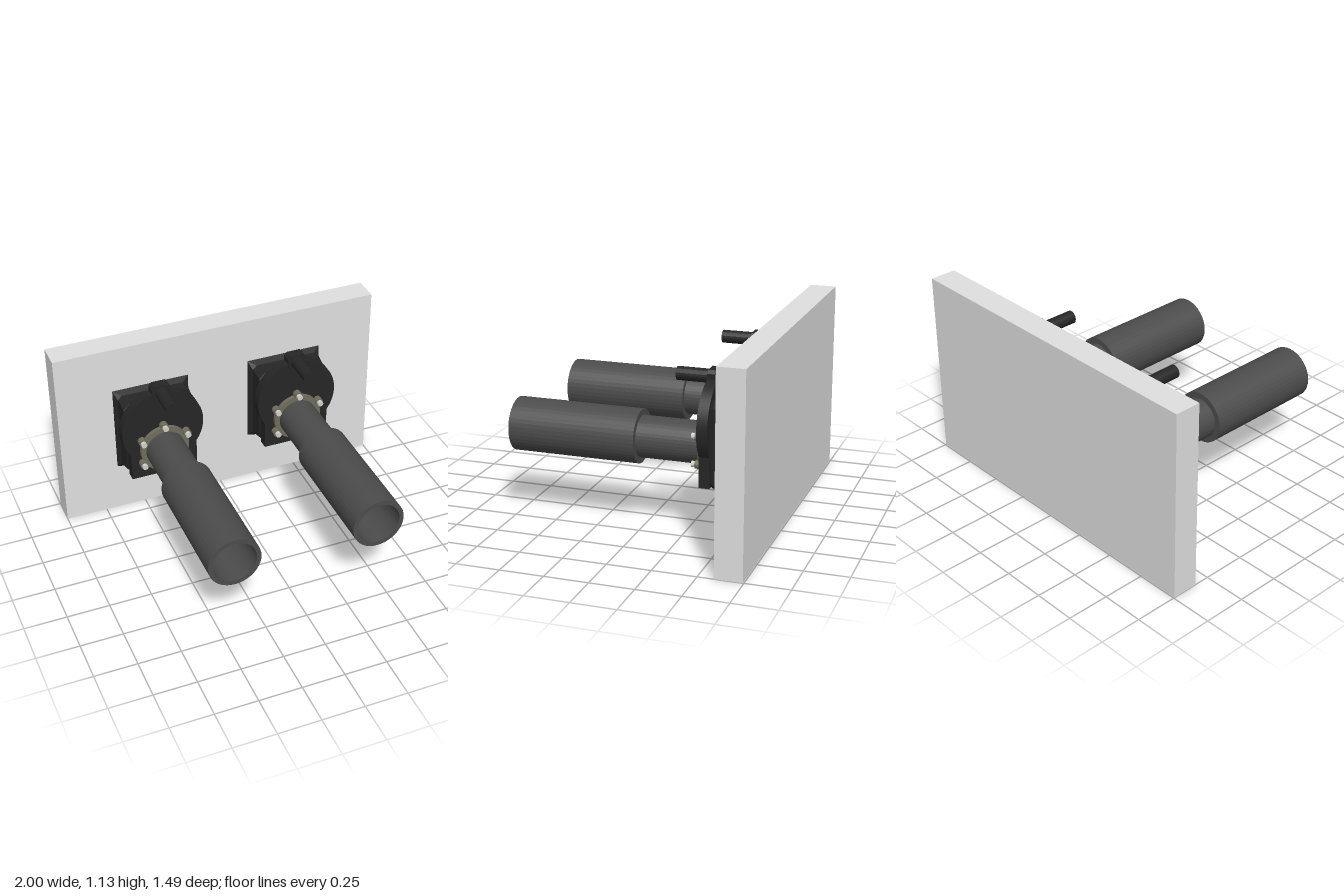
import * as THREE from 'three';

const mat = (name, color, flatShading = false) => {
  const m = new THREE.MeshStandardMaterial({ color, flatShading });
  m.name = name;
  return m;
};

function add(parent, name, geometry, material, x = 0, y = 0, z = 0) {
  const mesh = new THREE.Mesh(geometry, material);
  mesh.name = name;
  mesh.position.set(x, y, z);
  parent.add(mesh);
  return mesh;
}

// cylinder lying along z, from z0 to z1
function rod(radius, z0, z1, sides) {
  const g = new THREE.CylinderGeometry(radius, radius, z1 - z0, sides);
  return g.rotateX(Math.PI / 2).translate(0, 0, (z0 + z1) / 2);
}

// extrude a shape from z0 to z1
function slab(shape, z0, z1) {
  const g = new THREE.ExtrudeGeometry(shape, { depth: z1 - z0, bevelEnabled: false, curveSegments: 48 });
  return g.translate(0, 0, z0);
}

// rectangular cross-sections with cut corners, joined from back to front
function loft(sections) {
  const rings = sections.map(([z, w, y0, y1, c]) => [
    [-w + c, y0, z], [w - c, y0, z], [w, y0 + c, z], [w, y1 - c, z],
    [w - c, y1, z], [-w + c, y1, z], [-w, y1 - c, z], [-w, y0 + c, z],
  ]);
  const p = [];
  for (let s = 0; s < rings.length - 1; s++) {
    for (let i = 0; i < 8; i++) {
      const j = (i + 1) % 8;
      const a = rings[s][i], b = rings[s][j], c = rings[s + 1][j], d = rings[s + 1][i];
      p.push(...a, ...b, ...c, ...a, ...c, ...d);
    }
  }
  const back = rings[0], front = rings[rings.length - 1];
  for (let i = 1; i < 7; i++) {
    p.push(...front[0], ...front[i], ...front[i + 1]);
    p.push(...back[0], ...back[i + 1], ...back[i]);
  }
  const g = new THREE.BufferGeometry();
  g.setAttribute('position', new THREE.Float32BufferAttribute(p, 3));
  g.computeVertexNormals();
  return g;
}

export function createModel() {
  const model = new THREE.Group();
  model.name = 'wallMountedPipes';

  const wallGrey = mat('wallGrey', 0xe0e0e0);
  const pipeGrey = mat('pipeGrey', 0x4c4c4c, true);
  const housingBlack = mat('housingBlack', 0x262626, true);
  const flangeOlive = mat('flangeOlive', 0x706d5c, true);
  const boltSteel = mat('boltSteel', 0xd0d0cc, true);

  // wall panel
  add(model, 'wallPanel', new THREE.BoxGeometry(2, 1.13, 0.155), wallGrey, 0, 0.565, -0.667);

  // housing flaring out to the wall
  const housing = loft([
    [-0.59, 0.235, 0.31, 0.853, 0.002],
    [-0.55, 0.215, 0.327, 0.835, 0.025],
    [-0.465, 0.21, 0.335, 0.828, 0.035],
    [-0.44, 0.2, 0.345, 0.818, 0.04],
  ]);

  // cover plate: a disc with a straight-sided foot
  const cy = 0.664, r = 0.25, footY = 0.52;
  const a = Math.asin((cy - footY) / r), footX = r * Math.cos(a);
  const plateShape = new THREE.Shape();
  plateShape.moveTo(-footX, 0.345);
  plateShape.lineTo(footX, 0.345);
  plateShape.lineTo(footX, footY);
  plateShape.absarc(0, cy, r, -a, Math.PI + a, false);
  plateShape.closePath();
  const plate = slab(plateShape, -0.445, -0.385);

  // lug with cut corners on top of the plate
  const lugShape = new THREE.Shape([
    [-0.057, 0.87], [0.057, 0.87], [0.057, 0.938],
    [0.042, 0.957], [-0.042, 0.957], [-0.057, 0.938],
  ].map(([x, y]) => new THREE.Vector2(x, y)));
  const lug = slab(lugShape, -0.446, -0.384);
  const handle = rod(0.038, -0.39, -0.2, 20);

  // narrow pipe stepping up to a wide, open sleeve
  const pipe = new THREE.LatheGeometry([
    [0, -0.385], [0.118, -0.385], [0.118, 0.005], [0.153, 0.005],
    [0.153, 0.745], [0.127, 0.745], [0.127, 0.01], [0, 0.01],
  ].map(([x, y]) => new THREE.Vector2(x, y)), 40).rotateX(Math.PI / 2);

  const flange = rod(0.149, -0.386, -0.36, 40);
  const boss = rod(0.024, -0.386, -0.347, 14);
  const bolt = rod(0.017, -0.35, -0.326, 12);
  const pipeY = 0.532;

  for (const [name, x] of [['rightFitting', -0.428], ['leftFitting', 0.422]]) {
    const fitting = new THREE.Group();
    fitting.name = name;
    fitting.position.set(x, -0.003, 0);
    model.add(fitting);

    add(fitting, 'housing', housing, housingBlack);
    add(fitting, 'coverPlate', plate, housingBlack);
    add(fitting, 'lug', lug, housingBlack);
    add(fitting, 'handle', handle, housingBlack, 0, 0.912);
    add(fitting, 'pipe', pipe, pipeGrey, 0, pipeY);
    add(fitting, 'flange', flange, flangeOlive, 0, pipeY);

    // six bolts around the flange
    for (let i = 0; i < 6; i++) {
      const t = Math.PI / 6 + (i * Math.PI) / 3;
      const bx = 0.158 * Math.cos(t), by = pipeY + 0.158 * Math.sin(t);
      add(fitting, 'boltBoss', boss, flangeOlive, bx, by);
      add(fitting, 'bolt', bolt, boltSteel, bx, by);
    }
  }
  return model;
}
